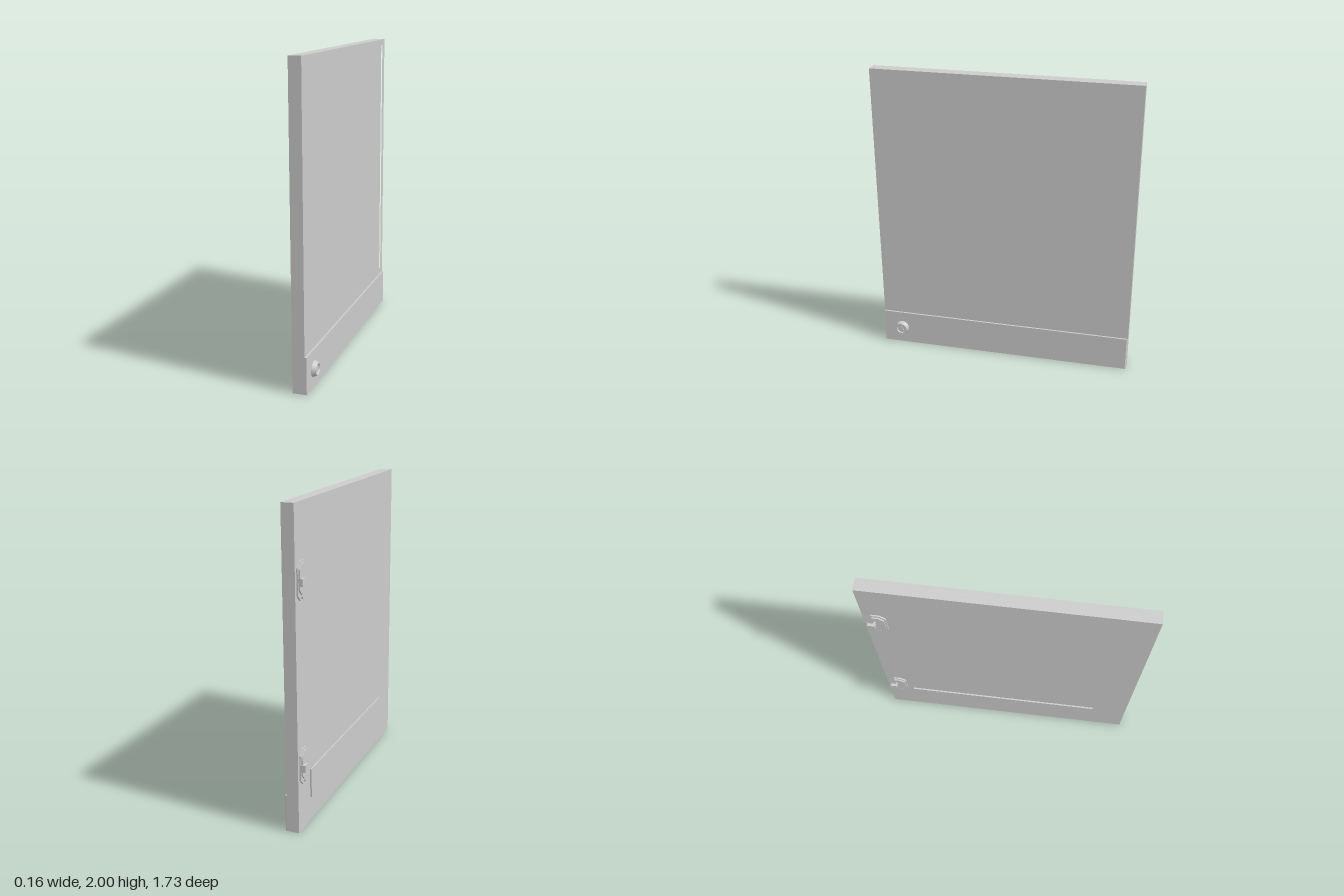
import * as THREE from 'three';

const grey = new THREE.MeshStandardMaterial({ color: 0xcccccc, flatShading: true });
const smooth = new THREE.MeshStandardMaterial({ color: 0xcccccc });

// Closed outline from [z, y] points; the extrusion plane uses -z as its first axis.
const outline = (pts, Type = THREE.Shape) => new Type(pts.map(([z, y]) => new THREE.Vector2(-z, y)));
const rect = (z0, z1, y0, y1, Type) => outline([[z0, y0], [z1, y0], [z1, y1], [z0, y1]], Type);

// Upright rectangle with cut corners
const cutRect = (z, y, w, h, c, Type) => outline([
  [z - w + c, y - h], [z + w - c, y - h], [z + w, y - h + c], [z + w, y + h - c],
  [z + w - c, y + h], [z - w + c, y + h], [z - w, y + h - c], [z - w, y - h + c],
], Type);

// Extrude an outline along x from x0 to x1
function slab(name, shape, x0, x1, holes = []) {
  shape.holes.push(...holes);
  const geo = new THREE.ExtrudeGeometry(shape, { depth: x1 - x0, bevelEnabled: false, curveSegments: 8 });
  geo.rotateY(Math.PI / 2).translate(x0, 0, 0);
  const mesh = new THREE.Mesh(geo, grey);
  mesh.name = name;
  return mesh;
}

function disc(name, r, x0, x1, y, z) {
  const geo = new THREE.CylinderGeometry(r, r, x1 - x0, 20).rotateZ(Math.PI / 2);
  const mesh = new THREE.Mesh(geo, grey);
  mesh.position.set((x0 + x1) / 2, y, z);
  mesh.name = name;
  return mesh;
}

// Slotted hinge plate with screws and a projecting catch, on the back edge
function createHinge(y) {
  const hinge = new THREE.Group();
  hinge.name = 'hinge';
  const z = -0.785;
  hinge.add(
    slab('hingePlate', cutRect(z, y, 0.06, 0.115, 0.035), -0.053, -0.043,
      [cutRect(z + 0.01, y, 0.032, 0.055, 0.008, THREE.Path)]),
    slab('hingeRim', cutRect(z, y + 0.01, 0.05, 0.09, 0.03), -0.062, -0.053,
      [cutRect(z + 0.01, y, 0.028, 0.055, 0.008, THREE.Path)]),
    slab('hingeCatch', rect(-0.84, -0.795, y - 0.025, y + 0.02), -0.08, -0.045),
    disc('upperScrew', 0.014, -0.062, -0.05, y + 0.08, z),
    disc('lowerScrew', 0.014, -0.062, -0.05, y - 0.095, z),
  );
  return hinge;
}

// Tapered round button with a dished face and a triangular mark
function createButton() {
  const button = new THREE.Group();
  button.name = 'button';
  const rim = [[0.05, 0], [0.05, 0.004], [0.04, 0.029], [0.033, 0.029], [0.029, 0.021], [0, 0.021]]
    .map(([r, h]) => new THREE.Vector2(r, h));
  // Separate bands keep the edges between them sharp
  for (let i = 0; i < rim.length - 1; i++) {
    const band = new THREE.Mesh(new THREE.LatheGeometry([rim[i], rim[i + 1]], 32), smooth);
    band.name = 'buttonBand';
    band.rotation.z = -Math.PI / 2;
    button.add(band);
  }
  const tri = outline([[-0.018, -0.012], [0.018, -0.012], [0, 0.018]]);
  const hole = outline([[-0.011, -0.008], [0.011, -0.008], [0, 0.011]], THREE.Path);
  button.add(slab('buttonMark', tri, 0.02, 0.025, [hole]));
  button.position.set(0.046, 0.117, 0.737);
  return button;
}

// Bottom rail: cross-section in plan, chamfered at the back end
function createRail() {
  const plan = new THREE.Shape([
    [0.03, 0.865], [0.047, 0.865], [0.047, -0.857], [0.037, -0.865], [0.03, -0.865],
  ].map(([x, z]) => new THREE.Vector2(x, -z)));
  const geo = new THREE.ExtrudeGeometry(plan, { depth: 0.237, bevelEnabled: false });
  const mesh = new THREE.Mesh(geo.rotateX(-Math.PI / 2), grey);
  mesh.name = 'bottomRail';
  return mesh;
}

export function createModel() {
  const model = new THREE.Group();
  model.name = 'doorPanel';
  const full = () => rect(-0.865, 0.865, 0, 2);
  model.add(
    // Door slab in three layers, recessed on both faces
    slab('outerFrame', full(), 0.012, 0.035, [rect(-0.81, 0.815, 0.28, 1.96, THREE.Path)]),
    slab('core', full(), -0.021, 0.012),
    slab('innerFrame', full(), -0.044, -0.021, [rect(-0.7, 0.71, 0.41, 1.83, THREE.Path)]),
    slab('innerPlate', rect(-0.685, 0.63, 0.157, 0.345), -0.054, -0.04),
    createRail(),
    createButton(),
    createHinge(1.555),
    createHinge(0.42),
  );
  return model;
}
